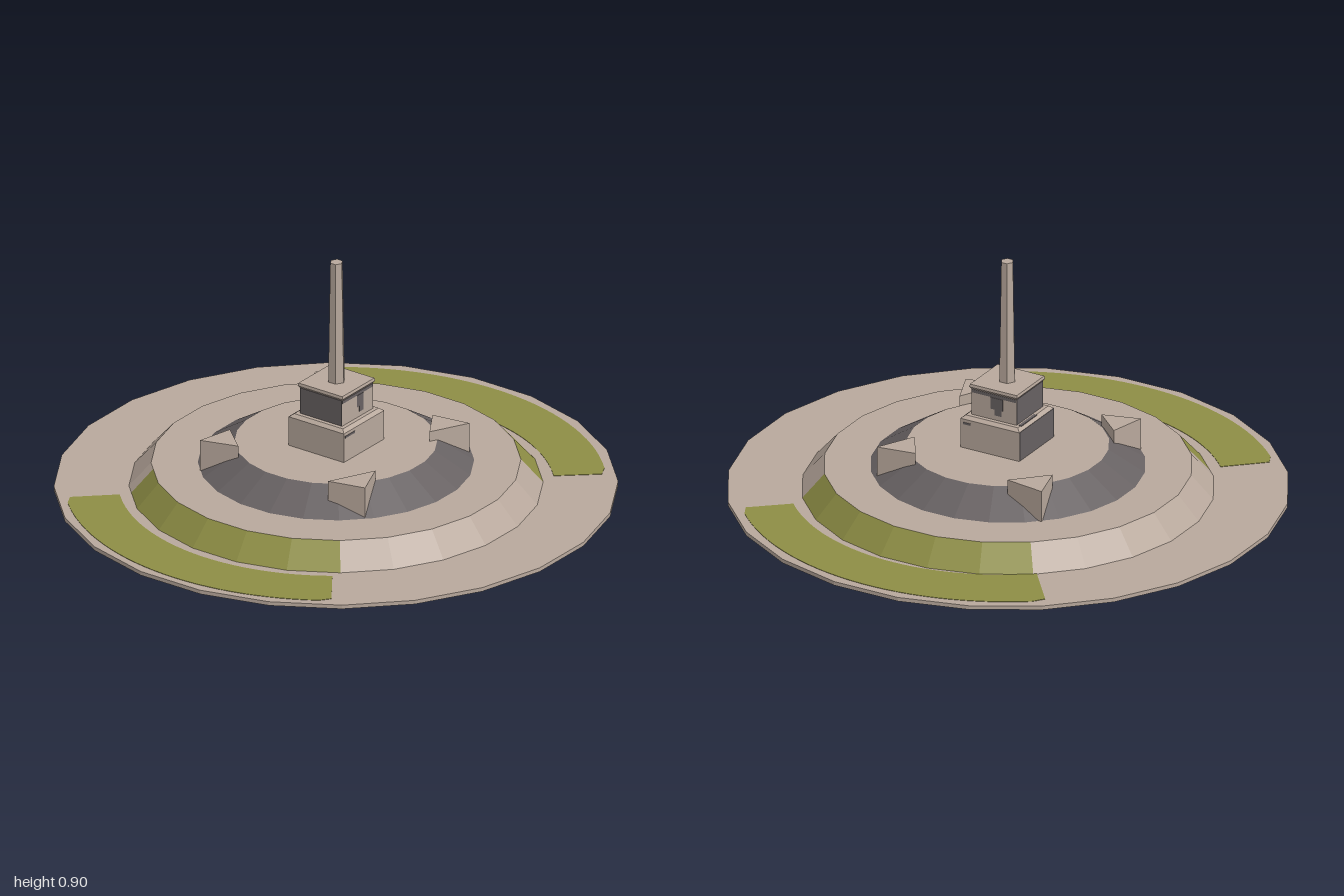
import * as THREE from 'three';

const DEG = Math.PI / 180;
const mat = (name, color) => {
  const m = new THREE.MeshStandardMaterial({ color });
  m.name = name;
  return m;
};

export function createModel() {
  const stone = mat('warm stone', 0xb8a89c);
  const dark = mat('dark stone', 0x676162);
  const grass = mat('grass', 0x8e8e45);
  const under = mat('underside grey', 0xcdcdcd);
  const model = new THREE.Group();

  function add(parent, name, geometry, material) {
    const mesh = new THREE.Mesh(geometry, material);
    mesh.name = name;
    parent.add(mesh);
    return mesh;
  }

  // Faceted frustum; turned half a facet so that flats face the axes
  function frustum(parent, name, r0, r1, y0, y1, sides, materials, turn = Math.PI / sides) {
    let g = new THREE.CylinderGeometry(r1, r0, y1 - y0, sides);
    g.rotateY(turn).translate(0, (y0 + y1) / 2, 0);
    g = g.toNonIndexed();
    g.computeVertexNormals();
    return add(parent, name, g, materials);
  }

  // Stretch of sloping 24-sided wall between two angles, cut along the facets
  function wall(name, from, to, r0, r1, y0, y1, material) {
    const angles = [from];
    for (let a = -52.5; a < 360; a += 15) if (a > from && a < to) angles.push(a);
    angles.push(to);
    const point = (a, r, y) => {
      const offset = a - Math.round(a / 15) * 15;
      const d = r * Math.cos(7.5 * DEG) / Math.cos(offset * DEG);
      return [d * Math.cos(a * DEG), y, d * Math.sin(a * DEG)];
    };
    const pos = [];
    for (let i = 0; i < angles.length - 1; i++) {
      const [a, b] = [angles[i], angles[i + 1]];
      const b0 = point(a, r0, y0), b1 = point(b, r0, y0);
      const t0 = point(a, r1, y1), t1 = point(b, r1, y1);
      pos.push(...b0, ...t0, ...b1, ...b1, ...t0, ...t1);
    }
    const g = new THREE.BufferGeometry();
    g.setAttribute('position', new THREE.Float32BufferAttribute(pos, 3));
    g.computeVertexNormals();
    add(model, name, g, material);
  }

  // Flat outline in x,z raised into a prism
  function prism(name, points, y0, y1, material) {
    const shape = new THREE.Shape(points.map(([x, z]) => new THREE.Vector2(x, -z)));
    const g = new THREE.ExtrudeGeometry(shape, { depth: y1 - y0, bevelEnabled: false });
    g.rotateX(-Math.PI / 2).translate(0, y0, 0);
    add(model, name, g, material);
  }

  // Curved lawn; the inner edge may drift from one radius to another
  function lawn(name, from, to, inner0, inner1, outer) {
    const out = [], inn = [], n = 30;
    for (let i = 0; i <= n; i++) {
      const t = i / n, a = (from + (to - from) * t) * DEG;
      const ro = outer - (i === 0 || i === n ? 0.015 : 0);
      const ri = inner0 + (inner1 - inner0) * t;
      out.push([ro * Math.cos(a), ro * Math.sin(a)]);
      inn.unshift([ri * Math.cos(a), ri * Math.sin(a)]);
    }
    prism(name, [...out, ...inn], 0.014, 0.0165, grass);
  }

  // Ground disc and lawns
  frustum(model, 'groundDisc', 1.0086, 1.0086, 0, 0.015, 24, [stone, stone, under]);
  lawn('leftLawn', -38.5, 49, 0.735, 0.78, 0.968);
  lawn('rightLawn', 144.7, 227, 0.768, 0.778, 0.972);

  // Lower terrace: banked wall in stone and grass, with a flat top
  const bank = [
    ['leftGrassBank', -37.5, 52.5, grass], ['frontBank', 52.5, 142.5, stone],
    ['rightGrassBank', 142.5, 228, grass], ['backBank', 228, 322.5, stone],
  ];
  for (const [name, from, to, m] of bank) wall(name, from, to, 0.742, 0.661, 0.013, 0.105, m);
  const top = new THREE.CircleGeometry(0.661, 24, 7.5 * DEG);
  top.rotateX(-Math.PI / 2).translate(0, 0.105, 0);
  add(model, 'terraceTop', top, stone);

  // Upper mound with dark sloping sides
  frustum(model, 'mound', 0.494, 0.363, 0.105, 0.187, 24, [dark, stone, stone]);

  // Four wedge buttresses pointing outwards on the diagonals
  const buttresses = [
    [[-0.322, 0.365], [-0.355, 0.225], [-0.185, 0.31]],
    [[0.333, 0.348], [0.19, 0.275], [0.31, 0.2]],
    [[0.358, -0.35], [0.215, -0.312], [0.335, -0.195]],
    [[-0.352, -0.345], [-0.31, -0.205], [-0.215, -0.312]],
  ];
  for (const points of buttresses) prism('buttress', points, 0.106, 0.225, stone);

  // Square plinth, slightly off centre
  const column = new THREE.Group();
  column.name = 'column';
  column.position.set(-0.011, 0, 0.01);
  model.add(column);
  const square = (name, h0, h1, y0, y1) =>
    frustum(column, name, h0 * Math.SQRT2, h1 * Math.SQRT2, y0, y1, 4, stone);
  square('plinthBase', 0.122, 0.122, 0.185, 0.3);
  square('plinthChamfer', 0.122, 0.108, 0.3, 0.311);
  square('plinthBlock', 0.093, 0.093, 0.311, 0.412);
  square('plinthCapFlare', 0.093, 0.099, 0.412, 0.42);
  square('plinthCap', 0.099, 0.097, 0.42, 0.431);

  // Dark weathered faces and stains: size x, y, z, then centre x, y, z
  const t = 0.003;
  const stains = [
    [0.24, 0.112, t, 0, 0.244, -0.122],
    [0.184, 0.1, t, 0, 0.362, -0.093],
    [t, 0.1, 0.184, -0.093, 0.362, 0],
    [0.11, t, 0.012, 0.036, 0.311, -0.106],
    [0.04, 0.045, t, 0.016, 0.375, 0.093],
    [0.024, 0.03, t, 0.022, 0.345, 0.093],
    [0.184, 0.012, t, 0, 0.405, 0.093],
    [0.06, 0.008, t, -0.085, 0.284, 0.122],
    [t, 0.045, 0.05, 0.093, 0.375, -0.012],
    [t, 0.03, 0.028, 0.093, 0.345, -0.018],
    [t, 0.012, 0.184, 0.093, 0.405, 0],
    [t, 0.008, 0.03, 0.122, 0.284, 0.095],
  ];
  for (const [w, h, d, x, y, z] of stains) {
    add(column, 'stain', new THREE.BoxGeometry(w, h, d).translate(x, y, z), dark);
  }

  // Tapering six-sided shaft
  frustum(column, 'shaft', 0.032, 0.024, 0.43, 0.9, 6, stone, 0);

  return model;
}
